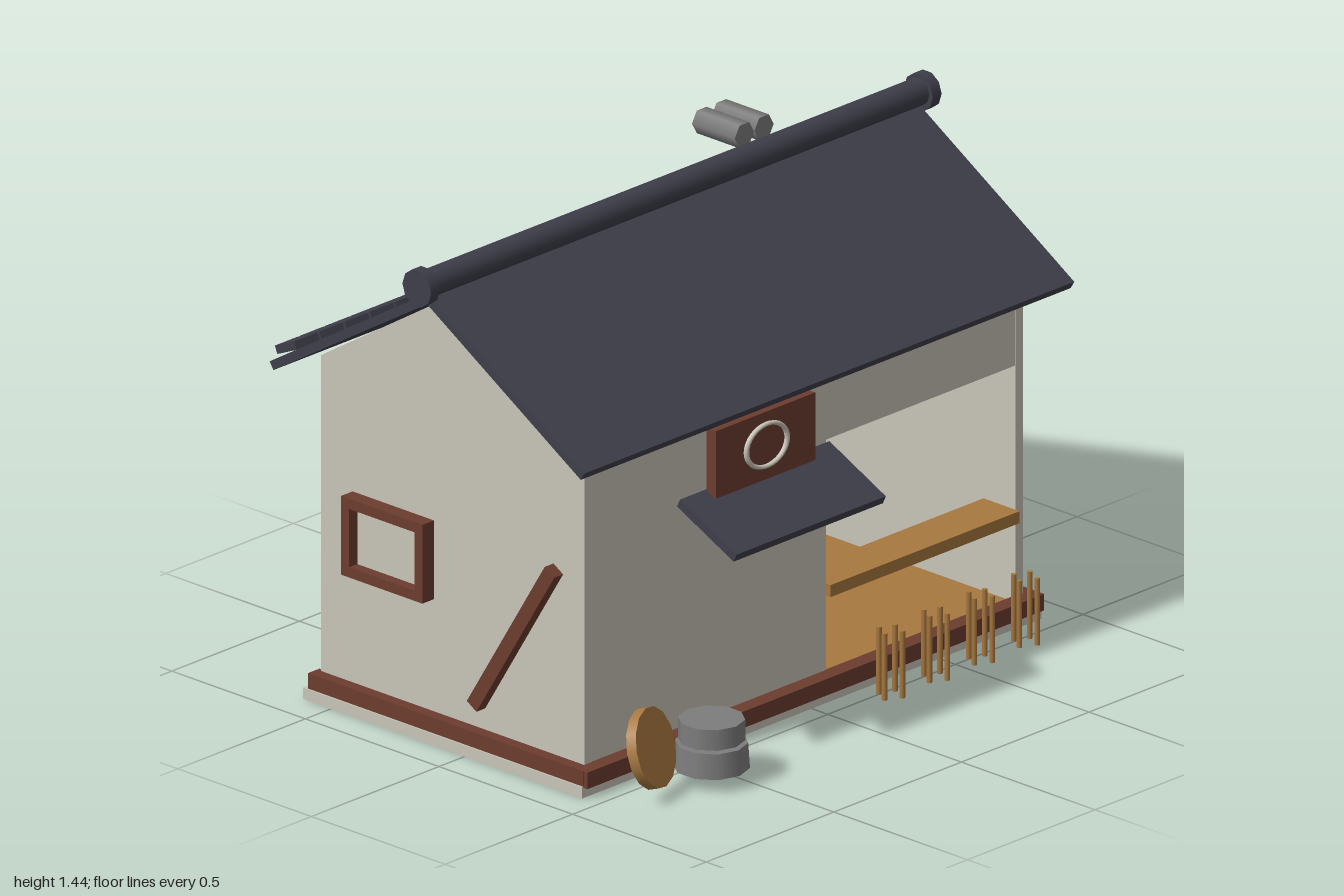
import * as THREE from 'three';

const mat = (name, color) => Object.assign(new THREE.MeshStandardMaterial({ color }), { name });

export function createModel() {
  const model = new THREE.Group();
  model.name = 'shopHouse';
  const plaster = mat('plaster', 0xc8c4b8);
  const tile = mat('darkRoofTile', 0x3e3e4a);
  const wood = mat('redBrownWood', 0x6b3d2e);
  const straw = mat('goldenWood', 0xa8783f);
  const stone = mat('greyStone', 0x7d7d7d);

  const add = (name, geometry, material, x, y, z, parent = model) => {
    const mesh = new THREE.Mesh(geometry, material);
    mesh.name = name;
    mesh.position.set(x, y, z);
    parent.add(mesh);
    return mesh;
  };
  // Box given by its lower and upper limits on each axis
  const span = (name, material, x0, x1, y0, y1, z0, z1) => add(name,
    new THREE.BoxGeometry(x1 - x0, y1 - y0, z1 - z0), material,
    (x0 + x1) / 2, (y0 + y1) / 2, (z0 + z1) / 2);
  // Box tilted about the x axis
  const tilted = (name, material, w, h, d, x, y, z, angle) => {
    const mesh = add(name, new THREE.BoxGeometry(w, h, d), material, x, y, z);
    mesh.rotation.x = angle;
    return mesh;
  };

  // Plinth and sill beams
  span('plinth', plaster, -0.9, 0.9, 0, 0.033, -0.605, 0.44);
  span('frontSill', wood, -0.895, 0.895, 0.03, 0.078, 0.405, 0.455);
  for (const s of [-1, 1]) {
    add('sideSill', new THREE.BoxGeometry(0.045, 0.046, 1.03), wood, s * 0.873, 0.055, -0.075);
  }

  // Walls around the open shop bay
  span('backWall', plaster, -0.83, 0.83, 0.03, 1, -0.575, -0.545);
  span('frontWall', plaster, -0.83, 0.09, 0.03, 1, 0.375, 0.408);
  span('lintel', plaster, 0.09, 0.83, 0.75, 1, 0.375, 0.408);
  span('partition', plaster, 0.06, 0.09, 0.03, 1, -0.545, 0.375);
  for (const s of [-1, 1]) {
    add('sideWall', new THREE.BoxGeometry(0.03, 0.97, 0.985), plaster, s * 0.845, 0.515, -0.0825);
  }
  span('shopFloor', straw, 0.09, 0.83, 0.03, 0.06, -0.545, 0.405);
  span('counter', straw, 0.09, 0.83, 0.295, 0.33, 0.29, 0.425);

  // Gable prism, running along x
  const gable = new THREE.Shape();
  gable.moveTo(-0.41, 1);
  gable.lineTo(0.575, 1);
  gable.lineTo(0.0825, 1.31);
  gable.closePath();
  const gableGeometry = new THREE.ExtrudeGeometry(gable, { depth: 1.72, bevelEnabled: false });
  gableGeometry.rotateY(Math.PI / 2);
  add('gable', gableGeometry, plaster, -0.86, 0, 0);

  // Roof slopes, ridge and eave tiles
  for (const s of [-1, 1]) {
    tilted('roofSlope', tile, 1.92, 0.026, 0.685, 0, 1.152, -0.083 + s * 0.29, s * 0.55);
    const cap = add('ridgeCap', new THREE.CylinderGeometry(0.054, 0.054, 0.034, 10), tile, s * 0.983, 1.372, -0.083);
    cap.rotation.z = Math.PI / 2;
  }
  const ridge = add('ridge', new THREE.CylinderGeometry(0.04, 0.04, 1.94, 10), tile, 0, 1.374, -0.083);
  ridge.rotation.z = Math.PI / 2;
  for (let i = 0; i < 19; i++) {
    tilted('eaveTile', tile, 0.09, 0.024, 0.08, -0.864 + i * 0.0985, 1.012, -0.66, -0.42);
  }

  // Pair of stones behind the ridge
  for (const x of [0.359, 0.436]) {
    const block = new THREE.CylinderGeometry(0.038, 0.038, 0.16, 6, 1, false, Math.PI / 6);
    block.rotateX(Math.PI / 2);
    add('roofStone', block, stone, x, 1.403, -0.235);
  }

  // Awning and signboard with an oval ring
  tilted('awning', tile, 0.585, 0.026, 0.235, -0.213, 0.692, 0.53, 0.45);
  span('signboard', wood, -0.405, -0.015, 0.738, 0.935, 0.433, 0.468);
  const ring = add('signRing', new THREE.TorusGeometry(0.08, 0.008, 8, 32), plaster, -0.21, 0.84, 0.472);
  ring.scale.y = 0.77;

  // Diagonal braces on both side walls
  for (const s of [-1, 1]) {
    tilted('brace', wood, 0.035, 0.555, 0.042, s * 0.877, 0.387, 0.167, 0.553);
  }

  // Window on the right-hand wall
  span('windowPane', plaster, -0.873, -0.86, 0.43, 0.61, -0.43, -0.18);
  for (const [y0, y1, z0, z1] of [
    [0.405, 0.435, -0.457, -0.153], [0.605, 0.635, -0.457, -0.153],
    [0.435, 0.605, -0.457, -0.427], [0.435, 0.605, -0.183, -0.153],
  ]) span('windowFrame', wood, -0.905, -0.86, y0, y1, z0, z1);

  // Stacked millstones and leaning straw disc
  add('lowerMillstone', new THREE.CylinderGeometry(0.1, 0.105, 0.073, 10), stone, -0.56, 0.077, 0.6);
  add('upperMillstone', new THREE.CylinderGeometry(0.092, 0.092, 0.06, 10), stone, -0.56, 0.151, 0.6);
  const discGeometry = new THREE.CylinderGeometry(0.113, 0.113, 0.03, 14);
  discGeometry.rotateX(Math.PI / 2);
  const disc = add('strawDisc', discGeometry, straw, -0.757, 0.14, 0.562);
  disc.rotation.set(-0.28, 0.33, 0, 'YXZ');

  // Four bundles of upright sticks
  const stick = new THREE.CylinderGeometry(0.008, 0.008, 0.195, 6);
  for (let i = 0; i < 4; i++) {
    const bundle = new THREE.Group();
    bundle.name = 'stickBundle';
    bundle.position.set(0.2 + i * 0.176, 0.107, 0.545);
    model.add(bundle);
    for (const [x, z] of [[-0.035, 0.01], [-0.012, -0.033], [0.032, -0.015], [0.011, 0.033]]) {
      add('stick', stick, straw, x, 0, z, bundle);
    }
  }
  return model;
}
